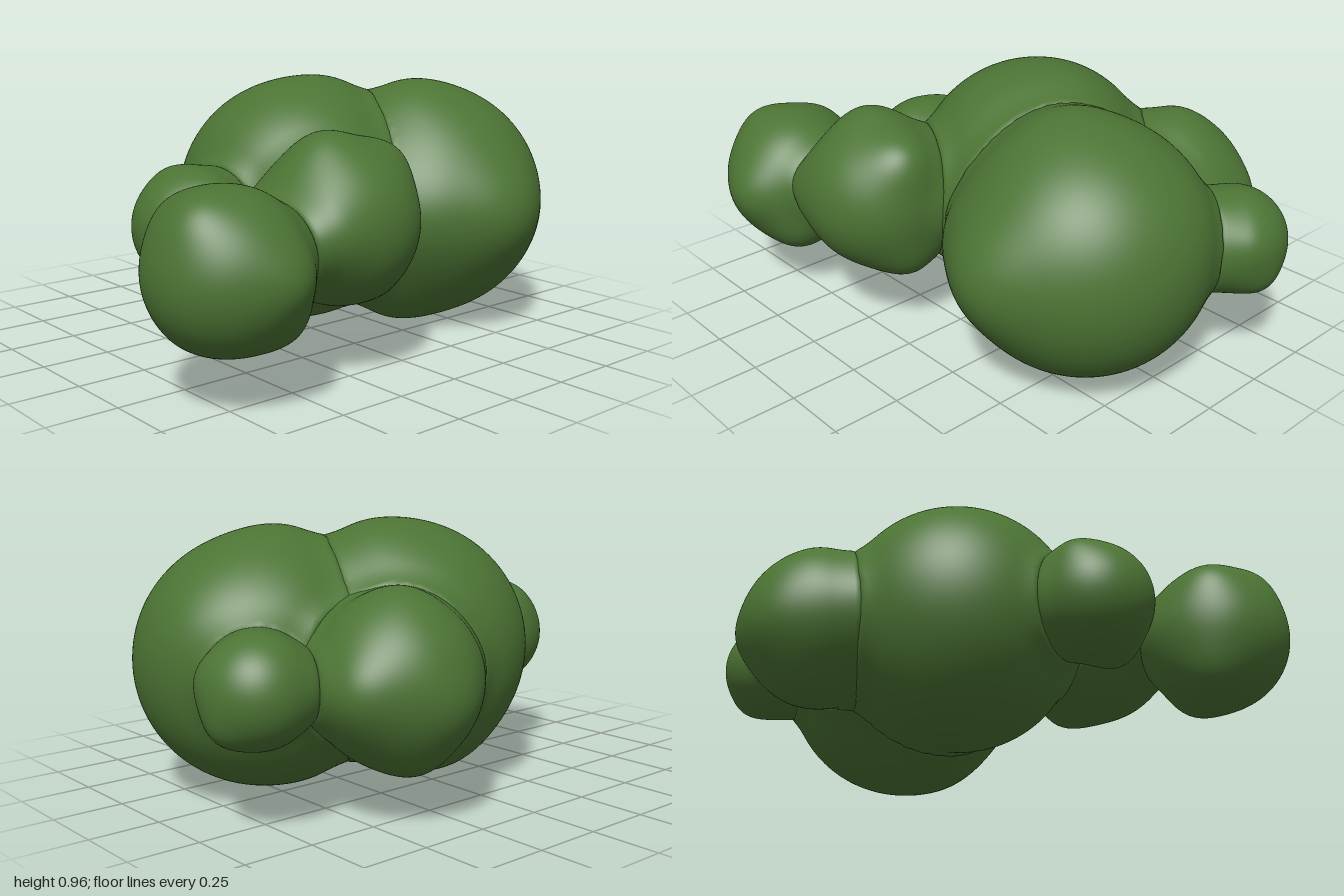
import * as THREE from 'three';
import { mergeVertices } from 'three/addons/utils/BufferGeometryUtils.js';

// Name, centre, radius, bumps as [direction x, y, z, height]
const CLUMPS = [
  ['middleClump', [-0.11, 0.505, -0.03], 0.458,
    [[-0.45, -0.9, 0.1, 0.05], [0, 0.9, -0.45, 0.06], [0, -0.8, 0.5, 0.03]]],
  ['backClump', [0.11, 0.48, -0.5], 0.452,
    [[1, 0, 0.06, 0.14], [0, 0.95, 0.3, 0.07], [0, -0.87, 0.48, 0.11], [0.65, 0, 0.75, 0.07], [-0.3, 0.4, -0.87, 0.03]]],
  ['leftClump', [-0.47, 0.475, -0.38], 0.292,
    [[-0.45, 0, -1, 0.12], [-1, -0.25, 0.1, 0.05], [-0.4, -1, 0, 0.1], [-0.1, 1, 0, 0.07], [-0.2, 0, 1, 0.07]]],
  ['smallBackClump', [-0.31, 0.475, -0.81], 0.19,
    [[0.5, 0.3, -0.8, 0.06], [0, -0.65, -0.75, 0.1]]],
  ['rightClump', [0.42, 0.53, 0.24], 0.282,
    [[-0.5, 0, 0.87, 0.2], [0.66, 0, 0.75, 0.15], [0.1, 0.7, -0.71, 0.17], [0, -0.8, -0.6, 0.17], [0, 1, 0.25, 0.12]]],
  ['frontRightClump', [0.47, 0.45, 0.73], 0.268,
    [[1, 0, -0.25, 0.12], [-0.6, -0.85, 0.2, 0.12], [-0.65, 0.65, 0.3, 0.09], [0.2, 0.8, 0.6, 0.1], [0.4, -0.7, -0.6, 0.13]]],
  ['frontClump', [-0.025, 0.48, 0.52], 0.213,
    [[0.65, -0.75, 0, 0.17], [-0.65, 0.75, 0, 0.1], [0.67, 0.74, 0, 0.06]]],
].map(([name, centre, radius, bumps]) => ({
  name,
  centre: new THREE.Vector3(...centre),
  radius,
  peaks: bumps.map(([x, y, z, height]) => ({ direction: new THREE.Vector3(x, y, z).normalize(), height })),
}));

const BLEND = 0.1; // width of the soft seam between clumps

// Distance from a clump's centre to its bumpy surface
function surfaceRadius({ radius, peaks }, direction) {
  let scale = 1;
  for (const peak of peaks) scale += peak.height * Math.exp(12 * (direction.dot(peak.direction) - 1));
  return radius * scale;
}

// Bumpy sphere whose surface swells softly where it meets its neighbours
function clumpGeometry(clump) {
  const ball = new THREE.IcosahedronGeometry(1, 22);
  ball.deleteAttribute('normal');
  ball.deleteAttribute('uv');
  const geometry = mergeVertices(ball);
  const position = geometry.attributes.position;
  const neighbours = CLUMPS.filter((other) => other !== clump);
  const own = new THREE.Vector3();
  const point = new THREE.Vector3();
  const outward = new THREE.Vector3();
  const push = new THREE.Vector3();
  for (let i = 0; i < position.count; i++) {
    own.fromBufferAttribute(position, i).normalize();
    point.copy(own).multiplyScalar(surfaceRadius(clump, own)).add(clump.centre);
    push.set(0, 0, 0);
    for (const other of neighbours) {
      outward.subVectors(point, other.centre);
      const length = outward.length();
      outward.divideScalar(length);
      const gap = length - surfaceRadius(other, outward);
      if (Math.abs(gap) >= BLEND) continue;
      const swell = (BLEND - Math.abs(gap)) ** 2 / (4 * BLEND);
      outward.lerp(own, 0.5 + (0.5 * gap) / BLEND).normalize();
      push.addScaledVector(outward, swell);
    }
    point.add(push).sub(clump.centre);
    position.setXYZ(i, point.x, point.y, point.z);
  }
  geometry.computeVertexNormals();
  return geometry;
}

export function createModel() {
  const group = new THREE.Group();
  group.name = 'bush';
  const leafGreen = new THREE.MeshStandardMaterial({ color: 0x4c7434 });
  leafGreen.name = 'leafGreen';

  // Overlapping leaf clumps
  for (const clump of CLUMPS) {
    const mesh = new THREE.Mesh(clumpGeometry(clump), leafGreen);
    mesh.name = clump.name;
    mesh.position.copy(clump.centre);
    group.add(mesh);
  }
  return group;
}
